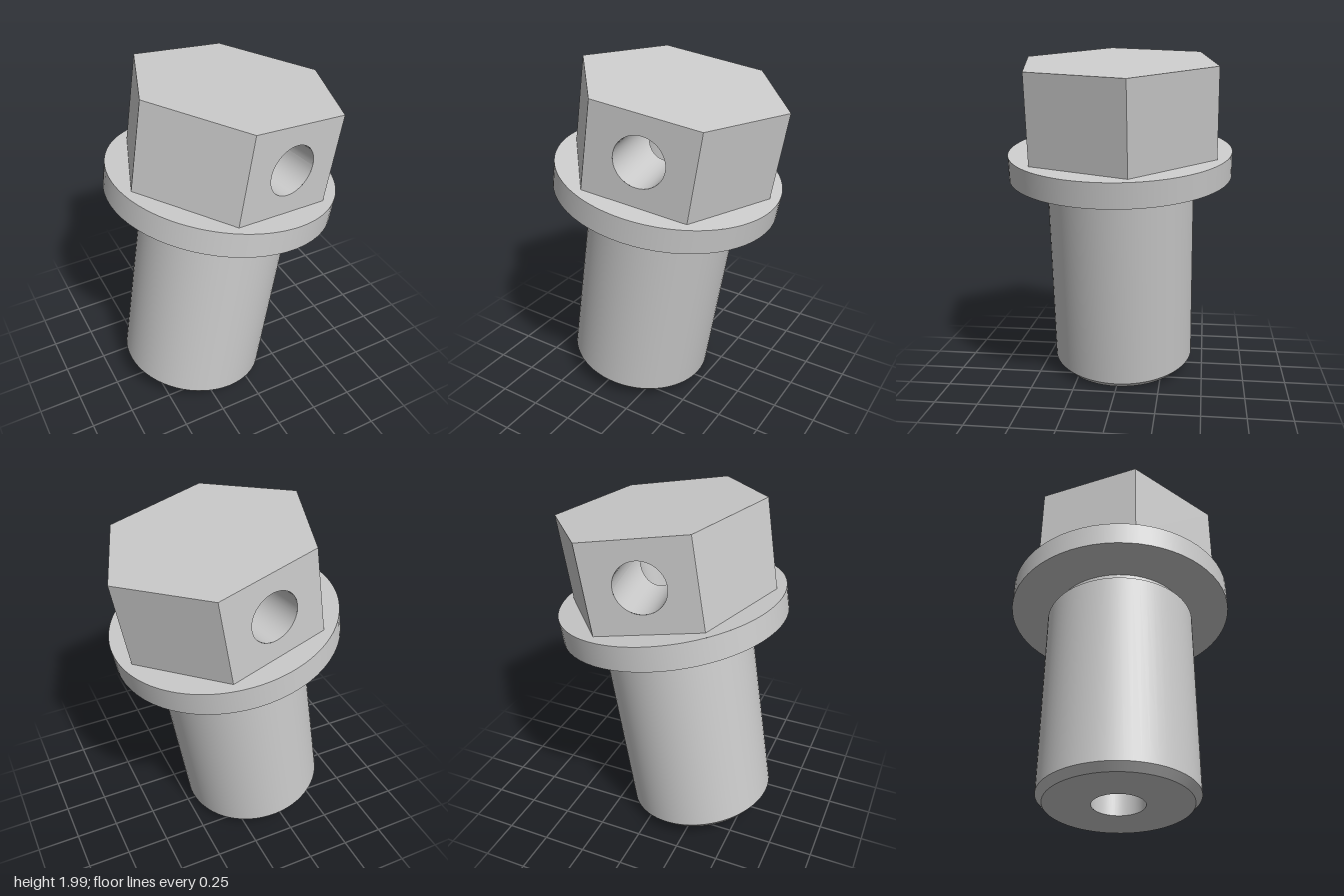
import * as THREE from 'three';

const SEG = 64;
const BORE = 0.142;                            // radius of both bores
const HEX = 0.595, APO = HEX * Math.cos(Math.PI / 6);
const FLANGE_R = 0.648, FLANGE_TOP = 1.351, HEAD_TOP = 1.858;
const HEAD_MID = (FLANGE_TOP + HEAD_TOP) / 2;

const material = new THREE.MeshStandardMaterial({ color: 0xcccccc });

function add(parent, name, geometry) {
  const mesh = new THREE.Mesh(geometry, material);
  mesh.name = name;
  parent.add(mesh);
  return mesh;
}

// Surface ruled between two curves a(t) and b(t), t in 0..2 PI
function ruled(a, b) {
  const pos = [], index = [];
  for (let i = 0; i <= SEG; i++) {
    const t = (i / SEG) * Math.PI * 2;
    pos.push(...a(t), ...b(t));
    if (i < SEG) {
      const k = i * 2;
      index.push(k, k + 2, k + 3, k, k + 3, k + 1);
    }
  }
  const g = new THREE.BufferGeometry();
  g.setAttribute('position', new THREE.Float32BufferAttribute(pos, 3));
  g.setIndex(index);
  g.computeVertexNormals();
  return g;
}

const hexPoints = () => Array.from({ length: 6 }, (_, i) =>
  new THREE.Vector2(HEX * Math.cos(i * Math.PI / 3), HEX * Math.sin(i * Math.PI / 3)));

// Flat shape laid horizontally, facing up
function flat(shape, y) {
  return new THREE.ShapeGeometry(shape, SEG).rotateX(-Math.PI / 2).translate(0, y, 0);
}

export function createModel() {
  const model = new THREE.Group();
  model.name = 'hollowBolt';
  const bolt = new THREE.Group();
  bolt.name = 'tiltedBolt';
  bolt.position.set(-0.22, 0.072, 0);
  bolt.rotation.z = -0.164;
  model.add(bolt);

  // Turned body: one lathe band per profile step keeps every edge sharp
  const profile = [
    [BORE, 0], [0.395, 0], [0.431, 0.04], [0.431, 1.153],
    [0.39, 1.153], [0.39, 1.209], [FLANGE_R, 1.209], [FLANGE_R, FLANGE_TOP],
  ].map(([r, y]) => new THREE.Vector2(r, y));
  const names = ['shankEnd', 'chamfer', 'shank', 'shankShoulder', 'neck', 'flangeUnderside', 'flangeRim'];
  names.forEach((name, i) =>
    add(bolt, name, new THREE.LatheGeometry([profile[i], profile[i + 1]], SEG)));

  // Head group, turned so the drilled flats face its local +z and -z
  const head = new THREE.Group();
  head.name = 'head';
  head.rotation.y = THREE.MathUtils.degToRad(10.4);
  bolt.add(head);

  // Flange top around the hexagon
  const ring = new THREE.Shape().absarc(0, 0, FLANGE_R, 0, Math.PI * 2);
  ring.holes.push(new THREE.Path(hexPoints()));
  add(head, 'flangeTop', flat(ring, FLANGE_TOP));
  add(head, 'headTop', flat(new THREE.Shape(hexPoints()), HEAD_TOP));

  // Six flats, the front and back ones drilled
  const w = HEX / 2, h = (HEAD_TOP - FLANGE_TOP) / 2;
  for (let i = 0; i < 6; i++) {
    const panel = new THREE.Shape([[-w, -h], [w, -h], [w, h], [-w, h]].map(p => new THREE.Vector2(...p)));
    if (i % 3 === 0) panel.holes.push(new THREE.Path().absarc(0, 0, BORE, 0, Math.PI * 2, true));
    const g = new THREE.ShapeGeometry(panel, SEG).translate(0, HEAD_MID, APO).rotateY(i * Math.PI / 3);
    add(head, 'headFlat' + (i + 1), g);
  }

  // Cross bore, opened below where the axial bore meets it
  const gap = t => Math.max(0, -BORE * Math.sin(t));
  const cross = (t, z) => [BORE * Math.cos(t), HEAD_MID + BORE * Math.sin(t), z];
  add(head, 'crossBoreFront', ruled(t => cross(t, APO), t => cross(t, gap(t))));
  add(head, 'crossBoreBack', ruled(t => cross(t, -gap(t)), t => cross(t, -APO)));

  // Axial bore from the shank end up to the cross bore
  const axial = (t, y) => [BORE * Math.cos(t), y, BORE * Math.sin(t)];
  add(head, 'axialBore', ruled(t => axial(t, 0), t => axial(t, HEAD_MID - BORE * Math.abs(Math.sin(t)))));

  return model;
}
